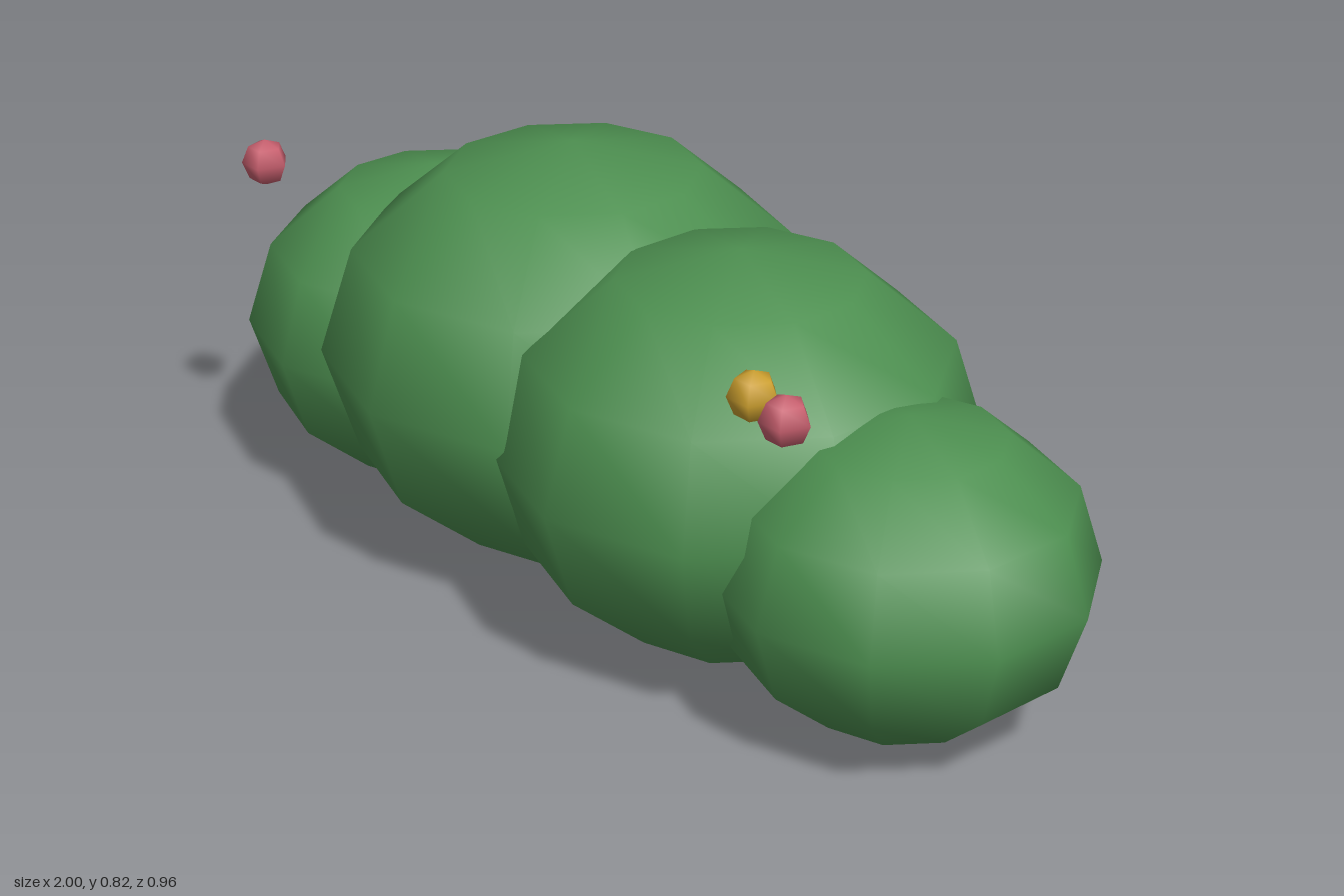
import * as THREE from 'three';

const material = (name, color) => {
  const m = new THREE.MeshStandardMaterial({ color });
  m.name = name;
  return m;
};

export function createModel() {
  const group = new THREE.Group();
  group.name = 'floweringHedge';

  const leafGreen = material('leafGreen', 0x4d8f50);
  const petalPink = material('petalPink', 0xc9606f);
  const petalYellow = material('petalYellow', 0xcda02f);

  // Coarse smooth spheres, turned so that a seam vertex points to -z
  const leafBall = new THREE.SphereGeometry(1, 10, 6, -Math.PI / 2);
  const flowerBall = new THREE.SphereGeometry(1, 5, 4, -Math.PI / 2);

  const add = (name, geometry, mat, [x, y, z], r, squash = 1) => {
    const mesh = new THREE.Mesh(geometry, mat);
    mesh.name = name;
    mesh.position.set(x, y, z);
    mesh.scale.set(r, r * squash, r);
    group.add(mesh);
  };

  // Leaf clumps, slightly flattened: centre and radius
  [
    [[-0.64, 0.333, 0.015], 0.378],
    [[-0.23, 0.411, 0], 0.48],
    [[0.015, 0.329, -0.04], 0.375],
    [[0.255, 0.387, 0.018], 0.446],
    [[0.672, 0.304, 0.008], 0.343],
  ].forEach(([centre, r], i) => add(`leafClump${i + 1}`, leafBall, leafGreen, centre, r, 0.85));

  // Small blossoms floating in front of the clumps
  add('pinkBlossomRight', flowerBall, petalPink, [-0.8, 0.682, 0.301], 0.046);
  add('pinkBlossomLeft', flowerBall, petalPink, [0.68, 0.682, 0.301], 0.046);
  add('yellowBlossom', flowerBall, petalYellow, [0.603, 0.698, 0.301], 0.046);

  return group;
}
